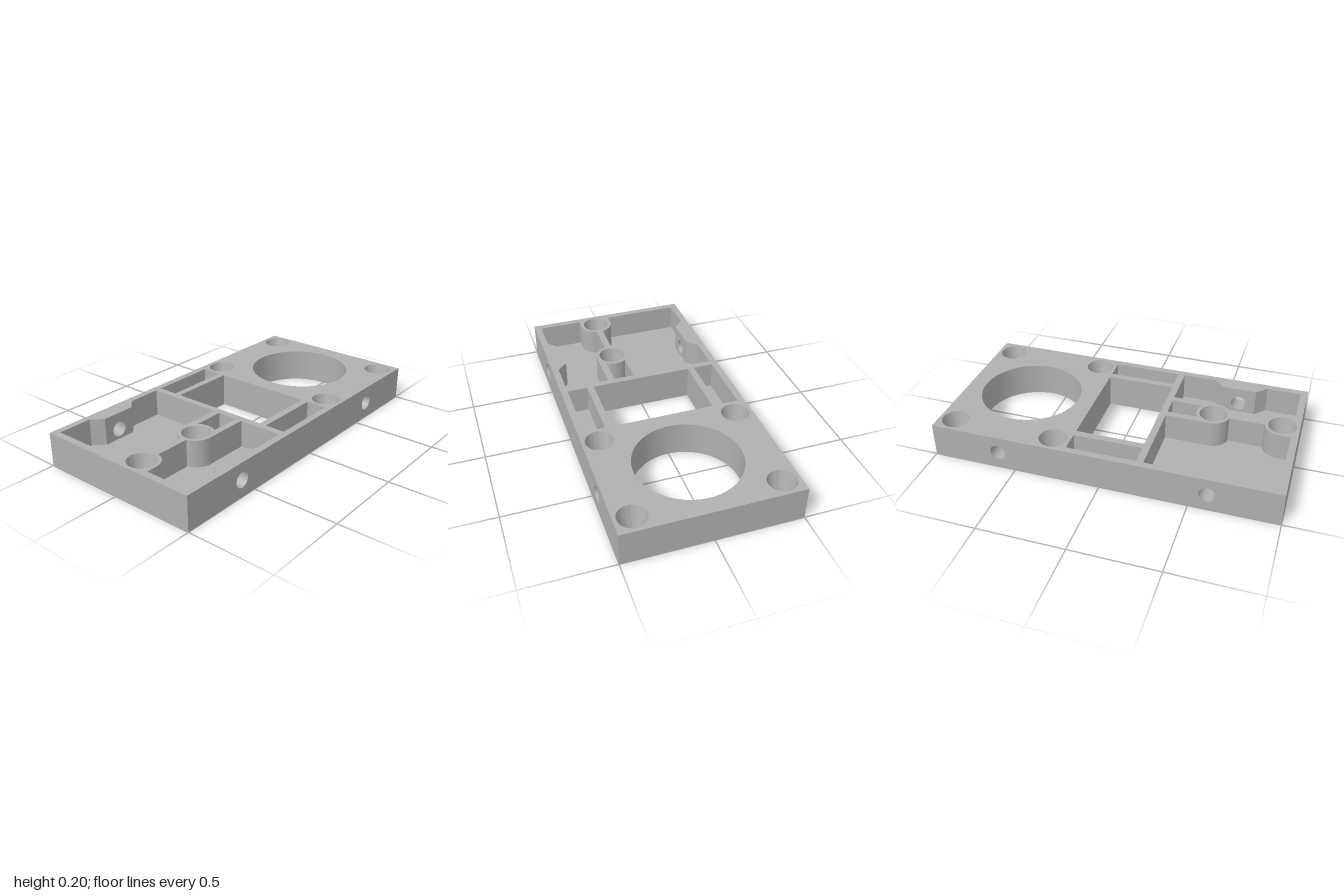
import * as THREE from 'three';
import { toCreasedNormals } from 'three/addons/utils/BufferGeometryUtils.js';

const TOP = 0.2, FLOOR = 0.04, SEG = 24;

// Points along an arc in the x-z plan
function arc(cx, cz, r, a0, a1, n = SEG) {
  return Array.from({ length: n + 1 }, (_, i) => {
    const a = a0 + (a1 - a0) * i / n;
    return new THREE.Vector2(cx + r * Math.cos(a), cz + r * Math.sin(a));
  });
}
const pts = (...list) => list.map(([x, z]) => new THREE.Vector2(x, z));
const circle = (x, z, r, n = 64) => arc(x, z, r, 0, Math.PI * 2, n).slice(0, -1);
const rect = (x0, z0, x1, z1) => pts([x0, z0], [x1, z0], [x1, z1], [x0, z1]);

// Extrude an x-z plan between two heights
function slab(outline, holes, y0, y1) {
  const shape = new THREE.Shape(outline);
  shape.holes = holes.map(h => new THREE.Path(h));
  const g = new THREE.ExtrudeGeometry(shape, { depth: y1 - y0, bevelEnabled: false });
  g.rotateX(Math.PI / 2).translate(0, y1, 0);
  return toCreasedNormals(g, 0.5);
}

// One long edge (s = -1 back, 1 front): large pocket open at the port block,
// round bosses joined by a rib, and a socket for the blind port block
function longEdge(s) {
  const q = Math.asin(0.2), inner = 0.1 + s * 0.1;
  return [
    ...pts([-1, s * 0.5], [-0.7, s * 0.5], [-0.7, s * 0.4], [-0.76, s * 0.46], [-0.96, s * 0.46], [-0.96, inner]),
    ...arc(-0.9, 0.1, 0.1, s * Math.PI / 2, s * q),
    ...arc(-0.5, 0.1, 0.1, s * (Math.PI - q), s * Math.PI / 2),
    ...pts([-0.24, inner], [-0.24, s * 0.46], [-0.44, s * 0.46], [-0.5, s * 0.4], [-0.5, s * 0.5],
      [0.5, s * 0.5], [0.5, s * 0.4], [0.7, s * 0.4], [0.7, s * 0.5], [1, s * 0.5]),
  ];
}

export function createModel() {
  const group = new THREE.Group();
  const grey = new THREE.MeshStandardMaterial({ color: 0xb0b0b0 });
  grey.name = 'plain grey';
  const add = (name, geometry, x = 0, y = 0, z = 0) => {
    const mesh = new THREE.Mesh(geometry, grey);
    mesh.name = name;
    mesh.position.set(x, y, z);
    group.add(mesh);
  };

  // Openings that run through the full thickness
  const screws = [[0.3, -0.4], [0.9, -0.4], [0.3, 0.4], [0.9, 0.4], [-0.9, 0.1], [-0.5, 0.1]];
  const through = [
    rect(-0.2, -0.3, 0.2, 0.3),
    circle(0.6, 0, 0.3, 96),
    ...screws.map(([x, z]) => circle(x, z, 0.08)),
  ];

  // Small pockets
  const e = Math.asin(0.6);
  const pockets = [
    rect(-0.2, -0.46, 0.2, -0.34),
    rect(-0.2, 0.34, 0.2, 0.46),
    [...arc(-0.5, 0.1, 0.1, -e, e), ...pts([-0.24, 0.16], [-0.24, 0.04])],
  ];

  add('floorPlate', slab(rect(-1, -0.5, 1, 0.5), through, 0, FLOOR));
  add('ribbedBody', slab([...longEdge(-1), ...longEdge(1).reverse()], [...through, ...pockets], FLOOR, TOP));

  // Tapered screw holes with their bottom rims
  const taper = toCreasedNormals(new THREE.LatheGeometry(
    pts([0.08, TOP], [0.04, 0], [0.08, 0]), 64), 0.5);
  for (const [x, z] of screws) add('screwHole', taper, x, 0, z);

  // Side port blocks: the left pair is blind, the right pair opens into the pockets
  const face = new THREE.Shape(rect(-0.1, FLOOR, 0.1, TOP));
  face.holes = [new THREE.Path(circle(0, 0.1, 0.045, 48))];
  const port = toCreasedNormals(
    new THREE.ExtrudeGeometry(face, { depth: 0.1, bevelEnabled: false }), 0.5);
  for (const x of [-0.6, 0.6]) for (const z of [-0.5, 0.4]) add('sidePort', port, x, 0, z);

  return group;
}
